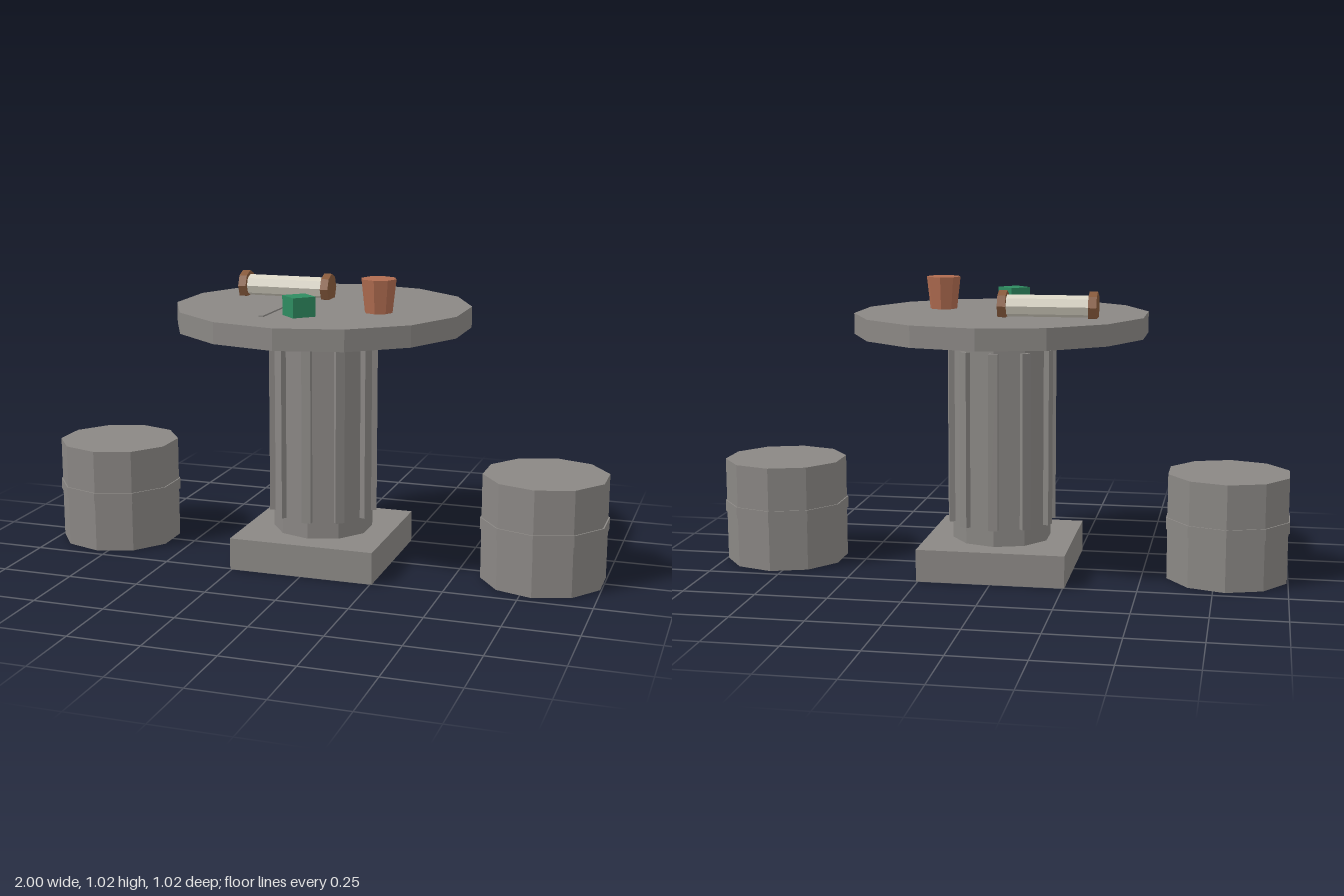
import * as THREE from 'three';

const paint = (name, color) => {
  const m = new THREE.MeshStandardMaterial({ color, flatShading: true });
  m.name = name;
  return m;
};

export function createModel() {
  const stone = paint('stone grey', 0x8a8784);
  const wood = paint('brown wood', 0x875a3c);
  const parchment = paint('parchment', 0xd9d4c5);
  const clay = paint('terracotta', 0xb06c50);
  const green = paint('green', 0x2e8b60);

  const model = new THREE.Group();
  model.name = 'tableWithStools';

  const add = (parent, name, geometry, material, x, y, z) => {
    const mesh = new THREE.Mesh(geometry, material);
    mesh.name = name;
    mesh.position.set(x, y, z);
    parent.add(mesh);
    return mesh;
  };
  // Upright faceted drum between two heights
  const drum = (parent, name, material, rTop, rBottom, y0, y1, sides, x = 0, z = 0) =>
    add(parent, name, new THREE.CylinderGeometry(rTop, rBottom, y1 - y0, sides), material, x, (y0 + y1) / 2, z);
  const group = (name) => {
    const g = new THREE.Group();
    g.name = name;
    model.add(g);
    return g;
  };

  // Table: plinth, ten-sided column with ribs on its corners, round top
  const table = group('table');
  add(table, 'plinth', new THREE.BoxGeometry(0.512, 0.112, 0.512), stone, 0, 0.056, 0);
  drum(table, 'column', stone, 0.174, 0.174, 0.112, 0.832, 10);
  const ribGeometry = new THREE.BoxGeometry(0.032, 0.61, 0.035);
  for (let i = 0; i < 10; i++) {
    const a = (i / 10) * Math.PI * 2;
    const rib = add(table, 'columnRib', ribGeometry, stone, 0.171 * Math.sin(a), 0.476, 0.171 * Math.cos(a));
    rib.rotation.y = a;
  }
  drum(table, 'tableTop', stone, 0.51, 0.51, 0.832, 0.904, 14);
  add(table, 'tableTopSeam', new THREE.BoxGeometry(0.016, 0.006, 0.37), stone, -0.11, 0.906, 0.133);

  // Stools with a raised band
  for (const side of [-1, 1]) {
    const stool = group(side > 0 ? 'leftStool' : 'rightStool');
    drum(stool, 'stoolBody', stone, 0.215, 0.215, 0, 0.367, 10, side * 0.791);
    drum(stool, 'stoolBand', stone, 0.22, 0.22, 0.175, 0.215, 10, side * 0.791);
  }

  // Scroll lying along x with a wooden cap at each end
  const scroll = group('scroll');
  scroll.position.set(-0.179, 0.941, -0.13);
  scroll.rotation.z = Math.PI / 2;
  drum(scroll, 'scrollRoll', parchment, 0.037, 0.037, -0.15, 0.15, 8);
  for (const s of [-1, 1]) {
    drum(scroll, 'scrollCap', wood, 0.051, 0.051, s * 0.153 - 0.014, s * 0.153 + 0.014, 8);
  }

  // Clay cup and green block on the table top
  drum(model, 'cup', clay, 0.061, 0.048, 0.904, 1.017, 8, 0.228, 0.102);
  drum(model, 'greenBlock', green, 0.058, 0.058, 0.904, 0.97, 4, 0, 0.255);

  return model;
}
